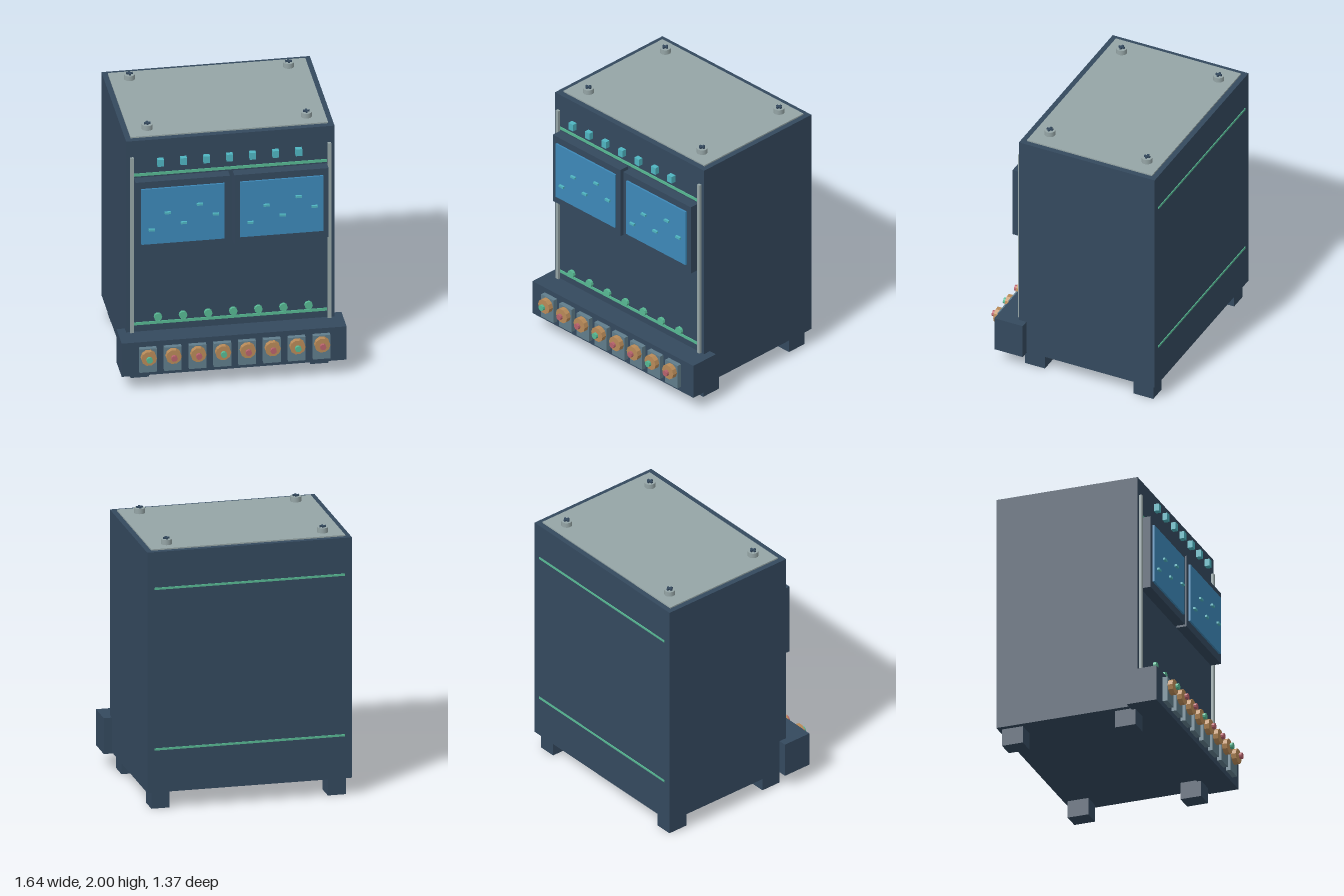
import * as THREE from 'three';

const mat = (name, color) => {
  const m = new THREE.MeshStandardMaterial({ color });
  m.name = name;
  return m;
};

export function createModel() {
  const navy = mat('navy casing', 0x34495e);
  const grey = mat('light grey metal', 0x95a5a6);
  const slate = mat('slate plate', 0x607d8b);
  const blue = mat('screen blue', 0x3d88b8);
  const teal = mat('teal light', 0x4fb5c1);
  const green = mat('green trim', 0x57b893);
  const bronze = mat('bronze', 0xb88a58);
  const red = mat('red pin', 0xb8626c);

  const root = new THREE.Group();
  root.name = 'equipmentCabinet';

  // Box given by its limits on each axis
  const box = (name, m, x0, x1, y0, y1, z0, z1) => {
    const mesh = new THREE.Mesh(new THREE.BoxGeometry(x1 - x0, y1 - y0, z1 - z0), m);
    mesh.position.set((x0 + x1) / 2, (y0 + y1) / 2, (z0 + z1) / 2);
    mesh.name = name;
    root.add(mesh);
    return mesh;
  };
  // Prism whose axis points to the front; corners lie on the x axis
  const prism = (name, m, r, sides, x, y, z0, z1) => {
    const g = new THREE.CylinderGeometry(r, r, z1 - z0, sides).toNonIndexed();
    g.rotateY(Math.PI / 2).rotateX(Math.PI / 2);
    g.computeVertexNormals();
    const mesh = new THREE.Mesh(g, m);
    mesh.position.set(x, y, (z0 + z1) / 2);
    mesh.name = name;
    root.add(mesh);
  };

  // Casing, lid and front tray
  box('casing', navy, -0.76, 0.76, 0.13, 1.94, -0.68, 0.41);
  box('lid', grey, -0.72, 0.72, 1.93, 1.95, -0.64, 0.365);
  box('frontTray', navy, -0.82, 0.82, 0.12, 0.39, 0.35, 0.578);

  for (const s of [-1, 1]) {
    // Feet
    for (const [z0, z1] of [[0.22, 0.38], [-0.65, -0.49]])
      box('foot', navy, s * 0.655 - 0.067, s * 0.655 + 0.067, 0, 0.135, z0, z1);

    // Upright rails
    box('rail', grey, s * 0.72 - 0.0125, s * 0.72 + 0.0125, 0.38, 1.81, 0.4, 0.43);

    // Lid screws with raised crosses
    for (const z of [-0.53, 0.25]) {
      const screw = new THREE.Mesh(new THREE.CylinderGeometry(0.04, 0.04, 0.04, 20), grey);
      screw.position.set(s * 0.58, 1.968, z);
      screw.name = 'lidScrew';
      root.add(screw);
      const x = s * 0.58;
      box('screwCross', navy, x - 0.023, x + 0.023, 1.98, 2, z - 0.007, z + 0.007);
      box('screwCross', navy, x - 0.007, x + 0.007, 1.98, 2, z - 0.023, z + 0.023);
    }

    // Screens with small readout marks
    const cx = s * 0.36;
    box('screenFrame', navy, cx - 0.344, cx + 0.344, 1.08, 1.64, 0.4, 0.488);
    box('screen', blue, cx - 0.303, cx + 0.303, 1.14, 1.587, 0.48, 0.502);
    [1.26, 1.39, 1.3, 1.44, 1.35].forEach((y, i) => {
      const x = cx + (i - 2) * 0.117 + 0.004;
      box('readoutMark', teal, x - 0.022, x + 0.022, y - 0.008, y + 0.008, 0.503, 0.52);
    });
  }

  // Trim stripes on front and back
  for (const y of [1.664, 0.455]) {
    box('frontStripe', green, -0.705, 0.705, y - 0.011, y + 0.011, 0.405, 0.416);
    box('backStripe', green, -0.705, 0.705, y - 0.008, y + 0.008, -0.685, -0.675);
  }

  // Row of square lamps above, row of round knobs below
  for (let i = 0; i < 7; i++) {
    const x = -0.52 + i * 0.168;
    box('lamp', teal, x - 0.023, x + 0.023, 1.757, 1.812, 0.453, 0.49);
    prism('knob', green, 0.03, 10, -0.537 + i * 0.183, 0.527, 0.453, 0.475);
  }

  // Connectors on the tray
  for (let i = 0; i < 8; i++) {
    const x = (i - 3.5) * 0.1807;
    box('connectorPlate', slate, x - 0.063, x + 0.063, 0.16, 0.35, 0.57, 0.614);
    prism('connectorNut', bronze, 0.057, 10, x, 0.288, 0.61, 0.652);
    prism('connectorPin', i % 3 === 0 ? green : red, 0.023, 10, x, 0.288, 0.661, 0.682);
  }

  return root;
}
